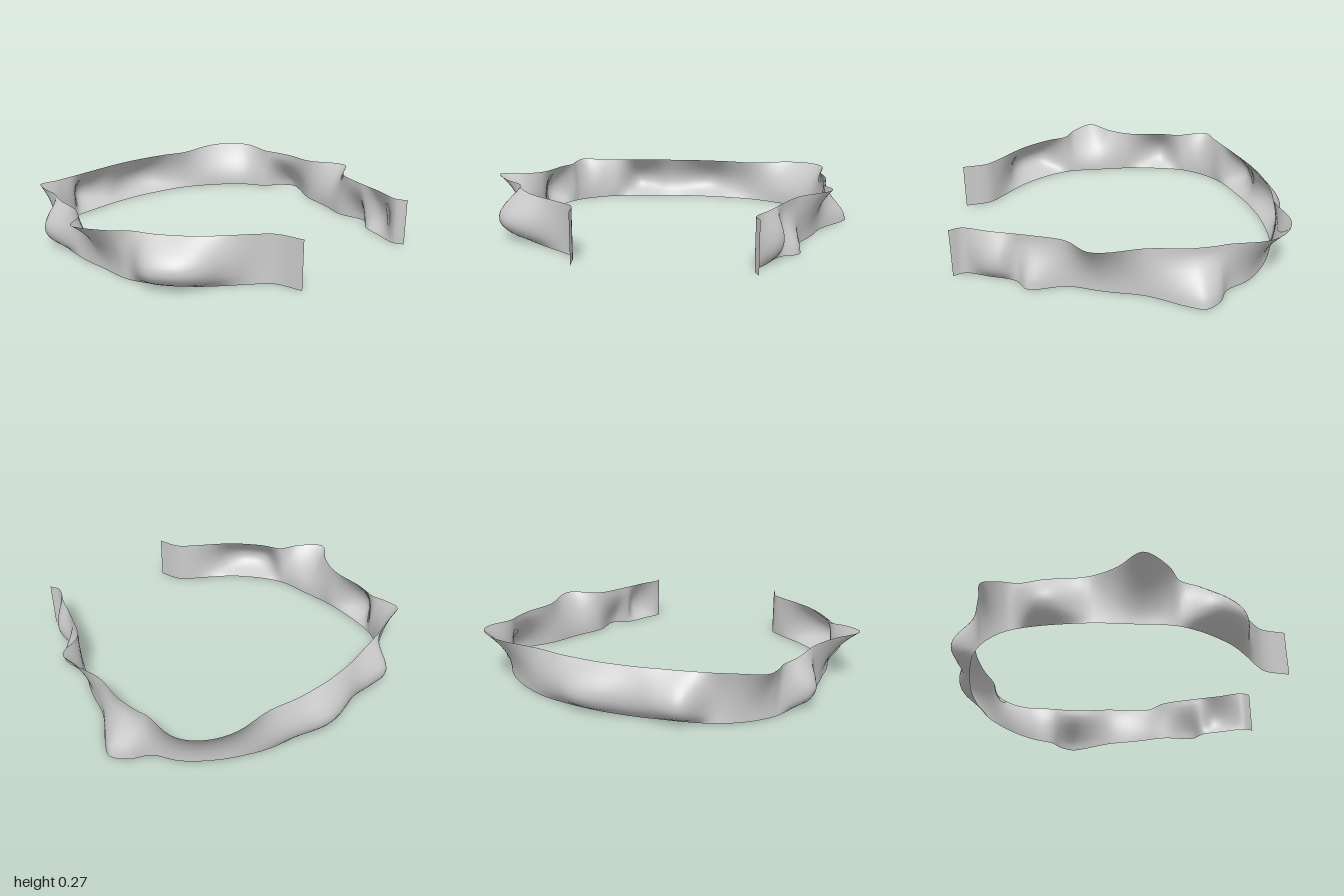
import * as THREE from 'three';

const HEIGHT = 0.25, LEVELS = 7;

// Foot line of the band as x, z pairs: an open loop running from one free end to the other
const FOOT = [
  -0.335, 0.88, -0.365, 0.745, -0.43, 0.68, -0.65, 0.5, -0.81, 0.24, -0.82, 0.02, -0.815, -0.2,
  -0.735, -0.53, -0.63, -0.66, -0.47, -0.75, -0.25, -0.795, 0.04, -0.82, 0.43, -0.76, 0.65, -0.64,
  0.78, -0.52, 0.855, -0.39, 0.875, -0.2, 0.845, 0, 0.75, 0.25, 0.635, 0.51, 0.55, 0.73, 0.5, 0.84,
  0.52, 0.9,
];

// How far a ruffle leans out at relative height t
const LEAN = {
  top: (t) => t ** 2.2,
  middle: (t) => Math.sin(Math.PI * t ** 0.8),
  bottom: (t) => 1 - THREE.MathUtils.smoothstep(t, 0, 0.9),
};

// Outermost x, z line of each ruffle, in order along the band
const RUFFLES = [
  ['middle', [-0.335, 0.88, -0.365, 0.745, -0.43, 0.68, -0.56, 0.62, -0.71, 0.58, -0.8, 0.52,
    -0.865, 0.4, -0.82, 0.24]],
  ['top', [-0.91, 0.17, -1, 0.04, -0.89, -0.07, -0.815, -0.2]],
  ['middle', [-0.865, -0.43, -0.735, -0.53]],
  ['top', [-0.735, -0.61, -0.71, -0.71, -0.59, -0.735, -0.47, -0.76]],
  ['middle', [-0.365, -0.885, -0.26, -0.885, -0.13, -0.865, 0.06, -0.905, 0.17, -0.905,
    0.3, -0.845, 0.44, -0.775]],
  ['top', [0.66, -0.755, 0.77, -0.715, 0.845, -0.65, 0.88, -0.56, 0.86, -0.39]],
  ['bottom', [0.95, -0.33, 1, -0.25, 0.97, -0.18, 0.845, 0]],
  ['top', [0.88, 0.19, 0.865, 0.27, 0.71, 0.36]],
  ['bottom', [0.705, 0.54, 0.62, 0.59]],
  ['middle', [0.63, 0.67, 0.605, 0.73, 0.5, 0.84, 0.52, 0.9]],
];

// Turn x, z pairs into points on the ground
function groundPoints(pairs) {
  return Array.from({ length: pairs.length / 2 },
    (_, i) => new THREE.Vector3(pairs[2 * i], 0, pairs[2 * i + 1]));
}

// Pair every outermost point with the nearest point of the foot line
function makeStations() {
  const foot = new THREE.CatmullRomCurve3(groundPoints(FOOT), false, 'centripetal').getPoints(1100);
  const nearest = (p) => foot.reduce((best, q) =>
    (q.distanceToSquared(p) < best.distanceToSquared(p) ? q : best));
  return RUFFLES.flatMap(([kind, pairs]) =>
    groundPoints(pairs).map((outer) => ({ kind, outer, base: nearest(outer) })));
}

// Smooth lengthwise curve through all stations at relative height t; top flares rise a little
function levelCurve(stations, t) {
  const points = stations.map(({ kind, outer, base }) => {
    const lean = LEAN[kind](t);
    const point = base.clone().lerp(outer, lean);
    point.y = HEIGHT * t + (kind === 'top' ? 0.12 * lean * base.distanceTo(outer) : 0);
    return point;
  });
  return new THREE.CatmullRomCurve3(points, false, 'centripetal');
}

export function createModel() {
  const group = new THREE.Group();
  group.name = 'ruffledBand';

  // Loft the level curves into one thin open strip
  const along = 210, up = 18;
  const stations = makeStations();
  const curves = Array.from({ length: LEVELS }, (_, i) => levelCurve(stations, i / (LEVELS - 1)));
  const positions = [], indices = [];
  for (let i = 0; i <= along; i++) {
    const section = new THREE.CatmullRomCurve3(curves.map((c) => c.getPoint(i / along)));
    for (let j = 0; j <= up; j++) positions.push(...section.getPoint(j / up).toArray());
  }
  for (let i = 0; i < along; i++) {
    for (let j = 0; j < up; j++) {
      const a = i * (up + 1) + j, b = a + up + 1;
      indices.push(a, a + 1, b, b, a + 1, b + 1);
    }
  }
  const geometry = new THREE.BufferGeometry();
  geometry.setAttribute('position', new THREE.Float32BufferAttribute(positions, 3));
  geometry.setIndex(indices);
  geometry.computeVertexNormals();

  const band = new THREE.Mesh(geometry,
    new THREE.MeshStandardMaterial({ color: 0xcccccc, side: THREE.DoubleSide }));
  band.name = 'wavyStrip';
  group.add(band);
  return group;
}
